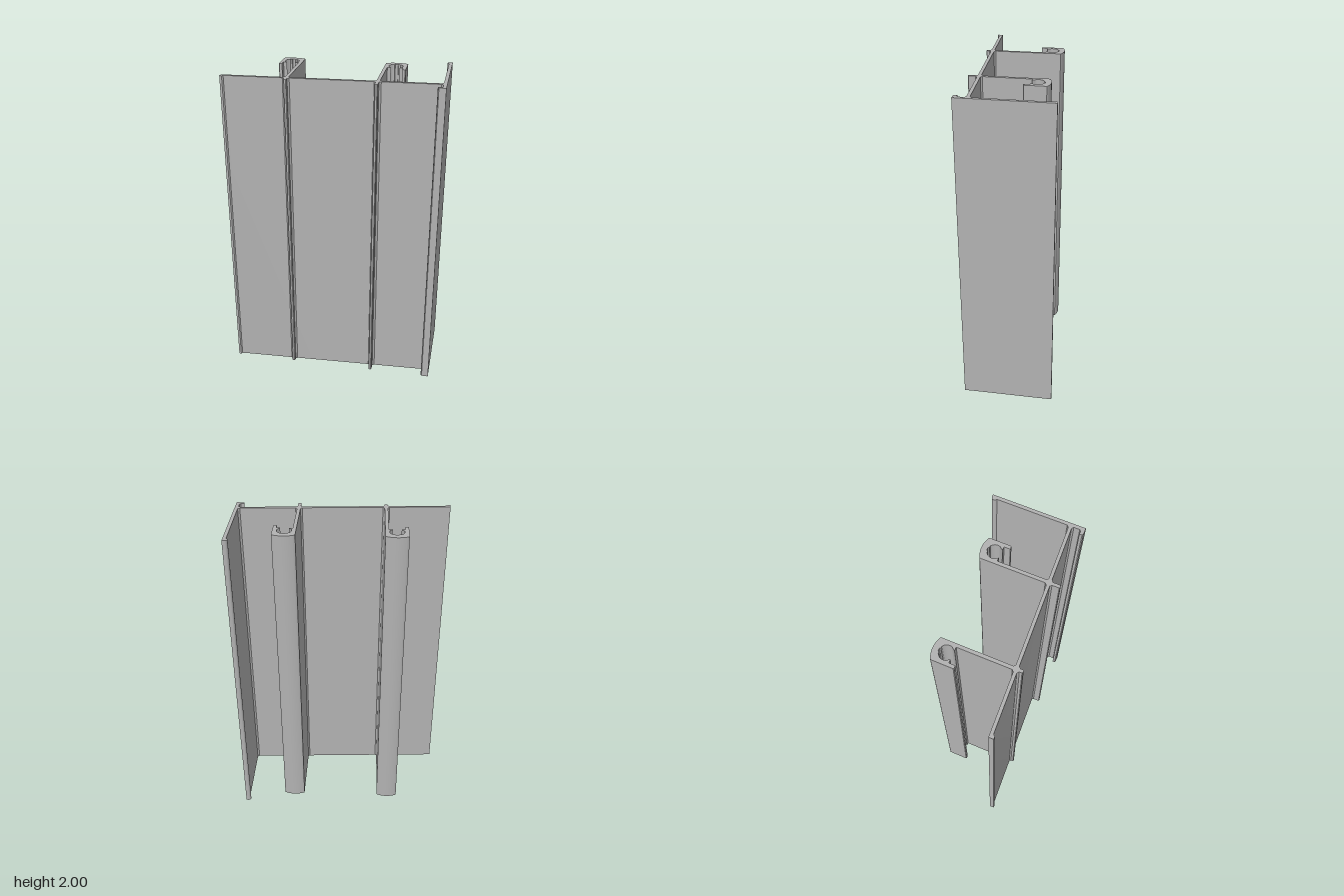
import * as THREE from 'three';
import { toCreasedNormals } from 'three/addons/utils/BufferGeometryUtils.js';

const HEIGHT = 2;
const FRONT = 0.284; // front-most z of lips and ribs
const rear = (x) => 0.221 - 0.05 * x; // rear face of the sloping web
const front = (x) => rear(x) + 0.02; // front face of the sloping web

// points along an arc in the x/z plane, angles in degrees
function arc(cx, cz, r, from, to, n = 8) {
  return Array.from({ length: n + 1 }, (_, i) => {
    const a = THREE.MathUtils.degToRad(from + ((to - from) * i) / n);
    return [cx + r * Math.cos(a), cz + r * Math.sin(a)];
  });
}

export function createModel() {
  const group = new THREE.Group();
  group.name = 'extrudedProfile';
  const aluminium = new THREE.MeshStandardMaterial({ color: 0xb2b2b2 });
  aluminium.name = 'grey aluminium';

  // extrudes an x/z outline straight up
  function addProfile(name, points) {
    const shape = new THREE.Shape(points.map(([x, z]) => new THREE.Vector2(x, -z)));
    let geometry = new THREE.ExtrudeGeometry(shape, { depth: HEIGHT, bevelEnabled: false });
    geometry.rotateX(-Math.PI / 2);
    geometry = toCreasedNormals(geometry, 0.5);
    const mesh = new THREE.Mesh(geometry, aluminium);
    mesh.name = name;
    group.add(mesh);
  }

  // sloping web with a small lip on its free edge
  addProfile('webPanel', [
    [-0.664, rear(-0.664)], [0.643, rear(0.643)], [0.643, front(0.643)],
    [-0.63, front(-0.63)], [-0.643, 0.275], [-0.646, 0.281], [-0.65, FRONT], [-0.664, FRONT],
  ]);

  // side flange with a bulb at the rear and a hooked lip at the front
  addProfile('sideFlange', [
    [0.664, -0.284], [0.664, FRONT], [0.622, FRONT], [0.616, 0.278], [0.614, 0.262],
    [0.635, 0.262], [0.643, 0.254],
    [0.643, -0.252], ...arc(0.65, -0.267, 0.0175, 115, 270),
  ]);
  // fillets where the flange meets the web
  addProfile('flangeRearFillet', [[0.643, rear(0.643)], [0.631, rear(0.631)], [0.643, rear(0.643) - 0.01]]);
  addProfile('flangeFrontFillet', [[0.643, front(0.643)], [0.631, front(0.631)], [0.643, front(0.643) + 0.01]]);

  // mirrored hook rails: stem, rounded crown, screw channel and short outer leg
  const centre = 0.327, half = 0.069, inner = 0.048;
  const crown = Array.from({ length: 13 }, (_, i) => {
    const t = -1 + i / 6;
    return [t * (half - 0.004), -0.21 + 0.014 * t * t];
  });
  const channel = [
    [inner, -0.095], [0.026, -0.095], [0.036, -0.109],
    ...arc(0, -0.13, 0.044, 20, -58), [0.012, -0.168], [0.009, -0.175],
  ];
  const channelMirrored = channel.map(([u, z]) => [-u, z]).reverse();

  for (const [side, s] of [['left', 1], ['right', -1]]) {
    const toX = (u) => s * (centre + u);
    const place = (points) => points.map(([u, z]) => [toX(u), z]);
    const on = (line, u, offset = 0) => [u, line(toX(u)) + offset];

    addProfile(`${side}HookRail`, place([
      on(rear, -half - 0.01), on(rear, -half, -0.01), [-half, -0.192],
      ...crown, [half, -0.192],
      [half, -0.061], [half - 0.004, -0.057], [inner, -0.057],
      ...channel, ...channelMirrored,
      on(rear, -inner, -0.01), on(rear, -inner + 0.01),
    ]));

    // short rib continuing the stem through the front of the web
    addProfile(`${side}FrontRib`, place([
      on(front, -half - 0.01), on(front, -half, 0.01), [-half, 0.28], [-half + 0.004, FRONT],
      [-inner - 0.006, FRONT], [-inner - 0.002, 0.28], on(front, -inner - 0.002, 0.01), on(front, -inner + 0.01),
    ]));
  }
  return group;
}
